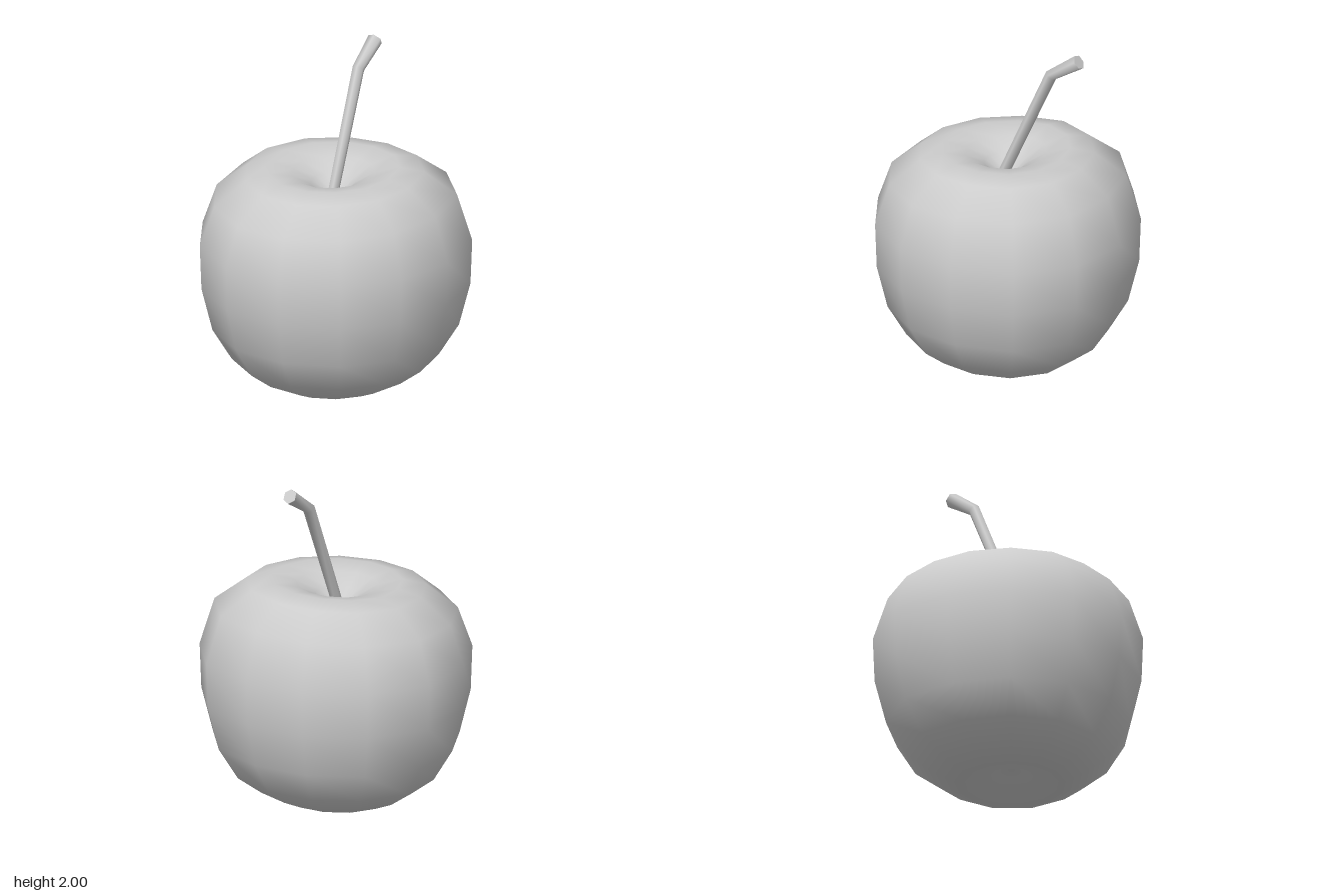
import * as THREE from 'three';
import { mergeVertices, toCreasedNormals } from 'three/addons/utils/BufferGeometryUtils.js';

const material = new THREE.MeshStandardMaterial({ color: 0xcccccc });

// Smooth 13-sided body with dimples at both ends, slightly irregular in outline
function createBody() {
  const profile = [
    [0, 0.1], [0.08, 0.08], [0.19, 0.02], [0.32, 0], [0.46, 0.065], [0.6, 0.17], [0.715, 0.36],
    [0.78, 0.62], [0.79, 0.89], [0.705, 1.15], [0.52, 1.295], [0.38, 1.325],
    [0.24, 1.295], [0.13, 1.235], [0.06, 1.17], [0, 1.14],
  ].map(([r, y]) => new THREE.Vector2(r, y));
  const bulge = [0.776, 0.769, 0.772, 0.781, 0.81, 0.808, 0.779, 0.786, 0.81, 0.824, 0.79, 0.784, 0.786];
  const sides = bulge.length;
  const geometry = new THREE.LatheGeometry(profile, sides, -0.13);
  const pos = geometry.attributes.position;
  for (let i = 0; i < pos.count; i++) {
    const side = Math.floor(i / profile.length) % sides;
    const scale = bulge[side] / 0.79;
    const x = pos.getX(i) * scale, z = pos.getZ(i) * scale;
    // the shoulder rises gently towards the left and the back
    const lift = pos.getY(i) > 1 ? 0.025 * (x - z) : 0;
    pos.setXYZ(i, x, pos.getY(i) + lift, z);
  }
  geometry.deleteAttribute('normal');
  geometry.deleteAttribute('uv');
  const body = mergeVertices(geometry, 1e-4);
  body.computeVertexNormals();
  return body;
}

// Six-sided stem: a cylinder whose rings are moved onto a bent path
function createStem() {
  const path = [[0, 1.12, 0.03], [0.07, 1.845, -0.28], [0.12, 1.967, -0.453]]
    .map((p) => new THREE.Vector3(...p));
  const radii = [0.032, 0.036, 0.045];
  const last = path.length - 1;
  const frames = path.map((p, i) => {
    const before = p.clone().sub(path[Math.max(i - 1, 0)]).normalize();
    const after = path[Math.min(i + 1, last)].clone().sub(p).normalize();
    const along = before.add(after).normalize();
    const u = new THREE.Vector3(1, 0, 0).addScaledVector(along, -along.x).normalize();
    return { u, w: u.clone().cross(along) };
  });
  const geometry = new THREE.CylinderGeometry(1, 1, 1, 6, last);
  const pos = geometry.attributes.position;
  const v = new THREE.Vector3();
  for (let i = 0; i < pos.count; i++) {
    const ring = Math.round((pos.getY(i) + 0.5) * last);
    v.copy(path[ring])
      .addScaledVector(frames[ring].u, pos.getX(i) * radii[ring])
      .addScaledVector(frames[ring].w, pos.getZ(i) * radii[ring]);
    pos.setXYZ(i, v.x, v.y, v.z);
  }
  return toCreasedNormals(geometry, 1.2);
}

export function createModel() {
  const group = new THREE.Group();
  group.name = 'apple';
  const parts = { body: createBody(), stem: createStem() };
  for (const [name, geometry] of Object.entries(parts)) {
    const mesh = new THREE.Mesh(geometry, material);
    mesh.name = name;
    group.add(mesh);
  }
  return group;
}
